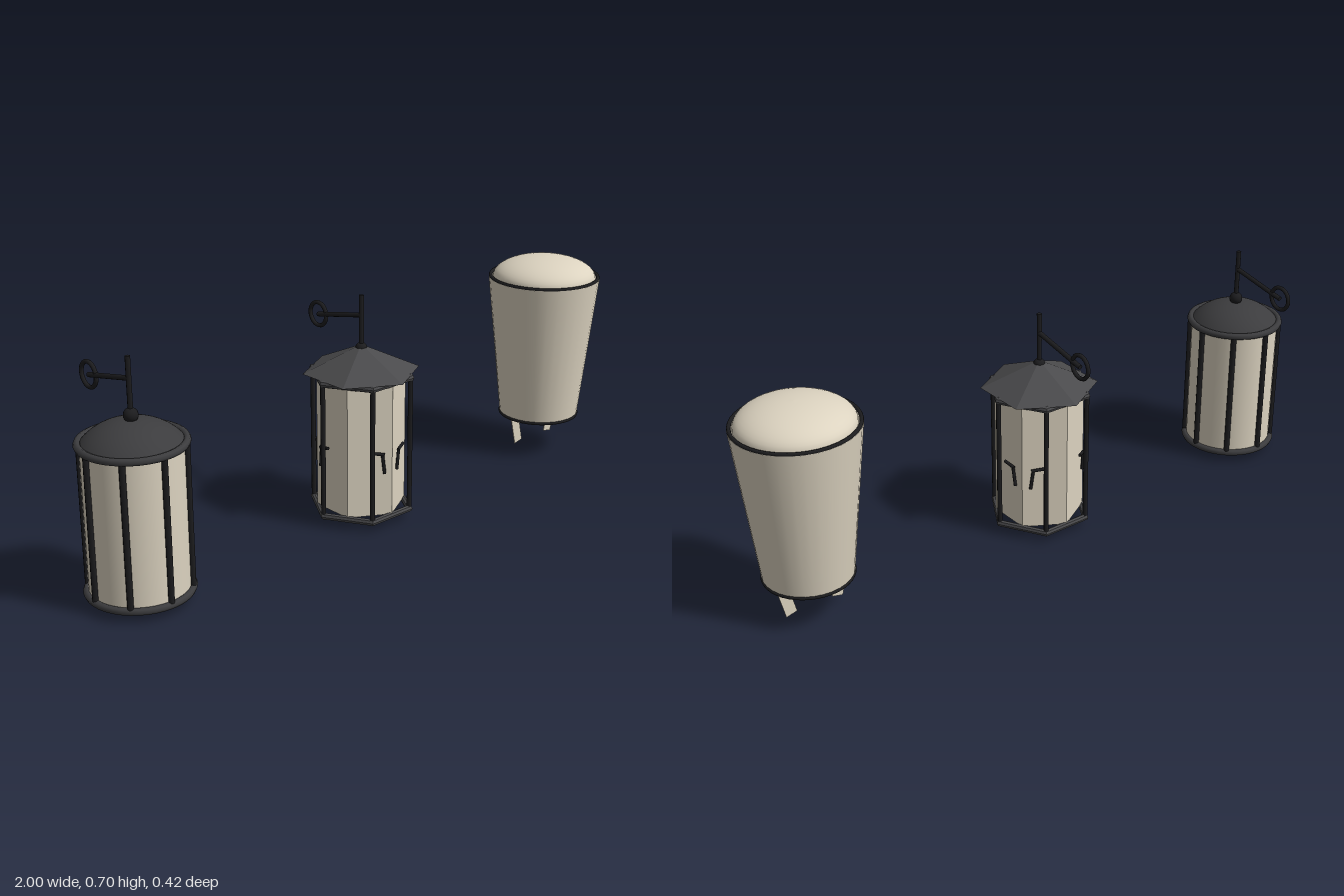
import * as THREE from 'three';

const mat = (color, flatShading = false) =>
  new THREE.MeshStandardMaterial({ color, flatShading, side: THREE.DoubleSide });
const metal = mat(0x1c1c1e);
const grey = mat(0x3c3c3e);
const roofGrey = mat(0x4a4a4c, true);
const paper = mat(0xdcd3c0);
const paperFlat = mat(0xdcd3c0, true);

function add(parent, name, geometry, material, x = 0, y = 0, z = 0) {
  const mesh = new THREE.Mesh(geometry, material);
  mesh.name = name;
  mesh.position.set(x, y, z);
  parent.add(mesh);
  return mesh;
}

// Round rod between two points
function rod(parent, name, a, b, r, material = metal) {
  const from = new THREE.Vector3(...a), to = new THREE.Vector3(...b);
  const dir = to.clone().sub(from);
  const mesh = add(parent, name, new THREE.CylinderGeometry(r, r, dir.length(), 8), material);
  mesh.position.copy(from).add(to).multiplyScalar(0.5);
  mesh.quaternion.setFromUnitVectors(new THREE.Vector3(0, 1, 0), dir.normalize());
  return mesh;
}

// Horizontal ring; few segments give a polygon with a corner on +x
function ring(parent, name, radius, tube, y, segments, material) {
  const mesh = add(parent, name, new THREE.TorusGeometry(radius, tube, 8, segments), material, 0, y, 0);
  mesh.rotation.x = Math.PI / 2;
  return mesh;
}

// Dome from a quarter-turn profile of given start angle
function dome(radius, height, start) {
  const pts = [];
  const c = Math.cos(start), s = Math.sin(start);
  for (let i = 0; i <= 12; i++) {
    const a = start + (Math.PI / 2 - start) * i / 12;
    pts.push(new THREE.Vector2(Math.max(0, radius * Math.cos(a) / c), height * (Math.sin(a) - s) / (1 - s)));
  }
  return new THREE.LatheGeometry(pts, 40);
}

function posts(parent, count, radius, thickness, y0, y1) {
  for (let i = 0; i < count; i++) {
    const a = i * 2 * Math.PI / count;
    const x = radius * Math.cos(a), z = radius * Math.sin(a);
    rod(parent, 'post', [x, y0, z], [x, y1, z], thickness);
  }
}

// Pole, sloping arm and wall ring
function hanger(parent, ballRadius) {
  const g = new THREE.Group();
  g.name = 'hanger';
  add(g, 'finial', new THREE.SphereGeometry(ballRadius, 16, 12), metal, 0, 0.54, 0);
  rod(g, 'pole', [0, 0.53, 0], [0, 0.705, 0], 0.0075);
  rod(g, 'arm', [0, 0.643, 0], [0, 0.602, -0.195], 0.0075);
  const loop = add(g, 'wallRing', new THREE.TorusGeometry(0.0365, 0.0065, 8, 32), metal, 0, 0.603, -0.195);
  loop.rotation.y = Math.PI / 2;
  parent.add(g);
}

function roundLantern() {
  const g = new THREE.Group();
  g.name = 'roundLantern';
  add(g, 'base', new THREE.CylinderGeometry(0.103, 0.103, 0.04, 32), metal, 0, 0.02, 0);
  add(g, 'shade', new THREE.CylinderGeometry(0.142, 0.142, 0.43, 32), paper, 0, 0.25, 0);
  ring(g, 'bottomRing', 0.146, 0.011, 0.033, 40, grey);
  ring(g, 'topRing', 0.146, 0.011, 0.465, 40, grey);
  posts(g, 8, 0.146, 0.009, 0.033, 0.465);
  add(g, 'cap', dome(0.14, 0.06, 0.6), grey, 0, 0.468, 0);
  hanger(g, 0.021);
  return g;
}

function hexLantern() {
  const g = new THREE.Group();
  g.name = 'hexagonalLantern';
  add(g, 'shade', new THREE.CylinderGeometry(0.138, 0.138, 0.42, 6), paperFlat, 0, 0.25, 0);
  ring(g, 'bottomFrame', 0.155, 0.011, 0.034, 6, roofGrey);
  ring(g, 'topFrame', 0.155, 0.011, 0.462, 6, roofGrey);
  posts(g, 6, 0.155, 0.0075, 0.034, 0.462);
  add(g, 'roof', new THREE.ConeGeometry(0.18, 0.082, 6), roofGrey, 0, 0.511, 0);
  // Small bent handles, mirrored on every other panel
  for (let i = 0; i < 6; i++) {
    const side = i % 2 ? 1 : -1;
    const handle = new THREE.Group();
    handle.name = 'handle';
    handle.rotation.y = Math.PI / 6 + i * Math.PI / 3;
    rod(handle, 'handleStem', [side * 0.044, 0.18, 0.127], [side * 0.036, 0.245, 0.13], 0.005);
    rod(handle, 'handleArm', [side * 0.042, 0.243, 0.13], [side * 0.002, 0.25, 0.134], 0.005);
    g.add(handle);
  }
  hanger(g, 0.018);
  return g;
}

function taperedLantern() {
  const g = new THREE.Group();
  g.name = 'taperedLantern';
  add(g, 'shade', new THREE.CylinderGeometry(0.184, 0.132, 0.48, 32), paper, 0, 0.366, 0);
  add(g, 'domeTop', dome(0.17, 0.069, 0), paper, 0, 0.606, 0);
  ring(g, 'topRim', 0.178, 0.006, 0.608, 40, metal);
  ring(g, 'bottomRim', 0.13, 0.006, 0.127, 40, metal);
  rod(g, 'crossBar', [-0.13, 0.125, 0], [0.13, 0.125, 0], 0.005);
  rod(g, 'crossBar', [0, 0.125, -0.13], [0, 0.125, 0.13], 0.005);
  // Thin flat legs leaning inward
  for (const s of [-1, 1]) {
    const leg = add(g, 'leg', new THREE.BoxGeometry(0.036, 0.115, 0.003), paperFlat, s * 0.088, 0.082, -0.02);
    leg.rotation.z = -s * 0.23;
  }
  return g;
}

export function createModel() {
  const model = new THREE.Group();
  model.name = 'lanternSet';
  const set = [[roundLantern(), -0.843], [hexLantern(), -0.016], [taperedLantern(), 0.814]];
  for (const [lantern, x] of set) {
    lantern.position.set(x, 0, 0.027);
    model.add(lantern);
  }
  return model;
}
